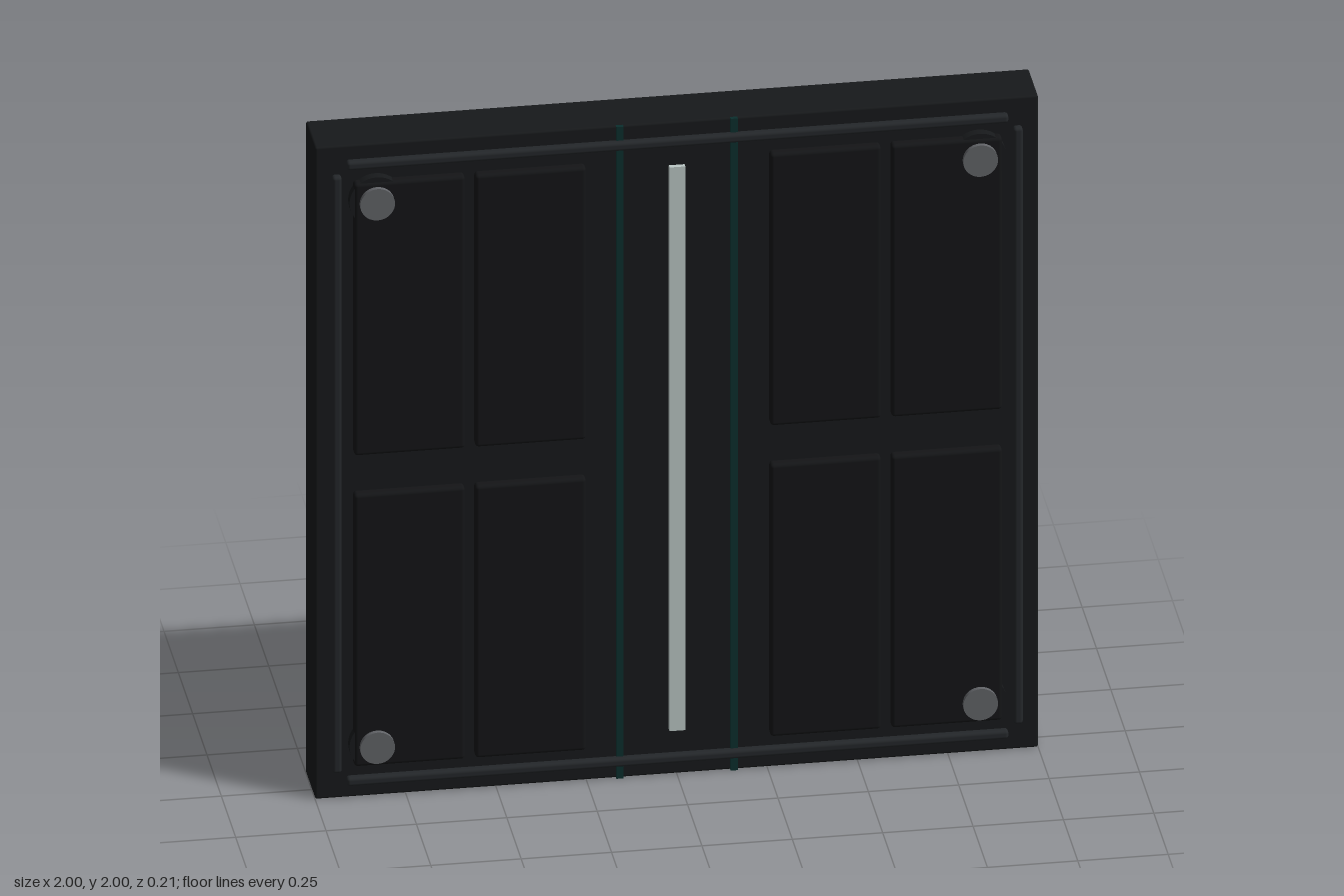
import * as THREE from 'three';
import { RoundedBoxGeometry } from 'three/addons/geometries/RoundedBoxGeometry.js';

const material = (color) => new THREE.MeshStandardMaterial({ color });
const FACE = 0.06; // front plane of the slab

export function createModel() {
  const group = new THREE.Group();
  const body = material(0x17191b);
  const panelMat = material(0x141517);
  const trim = material(0x24272a);
  const teal = material(0x0b2e2d);
  const silver = material(0xbcc8c6);
  const metal = material(0x626468);

  const add = (name, geometry, mat, x, y, z) => {
    const mesh = new THREE.Mesh(geometry, mat);
    mesh.name = name;
    mesh.position.set(x, y, z);
    group.add(mesh);
    return mesh;
  };
  // Rounded block reaching from just inside the slab to the given front depth
  const block = (name, w, h, front, r, mat, x, y) => {
    const back = FACE - 0.004;
    add(name, new RoundedBoxGeometry(w, h, front - back, 3, r), mat, x, y, (front + back) / 2);
  };
  const disc = (name, r, back, front, mat, x, y) => {
    const geometry = new THREE.CylinderGeometry(r, r, front - back, 40).rotateX(Math.PI / 2);
    add(name, geometry, mat, x, y, (front + back) / 2);
  };

  // Wall slab
  add('slab', new RoundedBoxGeometry(2, 2, FACE + 0.104, 2, 0.006), body, 0, 1, (FACE - 0.104) / 2);

  // Light strip down the middle
  add('centreStrip', new THREE.BoxGeometry(0.044, 1.73, 0.016), silver, 0, 1.003, FACE + 0.006);

  for (const sx of [-1, 1]) {
    // Full-height accent line and upright trim bar
    add('accentLine', new THREE.BoxGeometry(0.02, 2, 0.012), teal, sx * 0.158, 1, FACE + 0.001);
    block('sideTrim', 0.026, 1.83, 0.083, 0.009, trim, sx * 0.942, 1);

    for (const sy of [-1, 1]) {
      // Pair of raised panels in each quarter
      for (const x of [0.408, 0.743]) {
        block('panel', 0.306, 0.835, 0.091, 0.01, panelMat, sx * x, 1 + sy * 0.477);
      }
      // Corner bolt on its round base
      disc('boltBase', 0.075, FACE - 0.004, 0.086, body, sx * 0.834, 1 + sy * 0.834);
      disc('boltHead', 0.048, 0.08, 0.104, metal, sx * 0.834, 1 + sy * 0.834);
    }
  }

  // Top and bottom trim bars
  for (const sy of [-1, 1]) {
    block('crossTrim', 1.83, 0.026, 0.083, 0.009, trim, 0, 1 + sy * 0.945);
  }
  return group;
}
